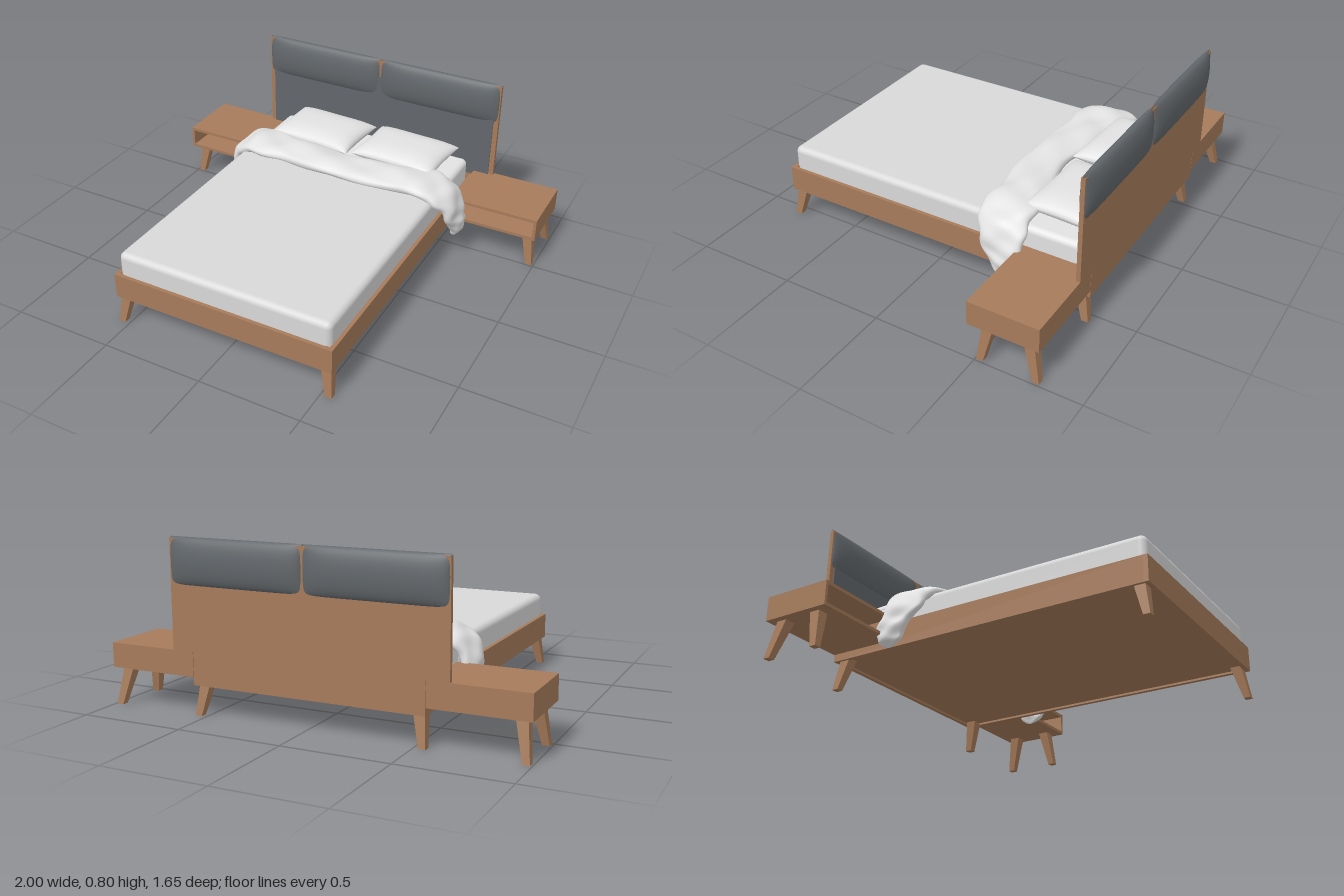
import * as THREE from 'three';
import { mergeGeometries, mergeVertices } from 'three/addons/utils/BufferGeometryUtils.js';
import { RoundedBoxGeometry } from 'three/addons/geometries/RoundedBoxGeometry.js';

const material = (name, color, side = THREE.FrontSide) => {
  const m = new THREE.MeshStandardMaterial({ color, side });
  m.name = name;
  return m;
};

export function createModel() {
  const wood = material('walnut wood', 0xa67b5a);
  const fabric = material('grey upholstery', 0x62676b);
  const linen = material('white linen', 0xe2e2e2);
  const cover = material('bed cover', 0xd8d8d8);

  const root = new THREE.Group();
  root.name = 'bed';

  const add = (parent, name, geometry, mat, x = 0, y = 0, z = 0) => {
    const mesh = new THREE.Mesh(geometry, mat);
    mesh.name = name;
    mesh.position.set(x, y, z);
    parent.add(mesh);
    return mesh;
  };
  const group = (name) => {
    const g = new THREE.Group();
    g.name = name;
    root.add(g);
    return g;
  };
  // Box given by its limits on each axis
  const box = (parent, name, mat, x0, x1, y0, y1, z0, z1) =>
    add(parent, name, new THREE.BoxGeometry(x1 - x0, y1 - y0, z1 - z0), mat,
      (x0 + x1) / 2, (y0 + y1) / 2, (z0 + z1) / 2);

  // Tapered, splayed square leg; the foot stands on y = 0
  const leg = (parent, name, h, footX, footZ, topX, topZ) => {
    const g = new THREE.BoxGeometry(1, h, 1);
    const p = g.attributes.position;
    for (let i = 0; i < p.count; i++) {
      const top = p.getY(i) > 0;
      const w = top ? 0.052 : 0.032;
      p.setXYZ(i, p.getX(i) * w + (top ? topX : footX), p.getY(i) + h / 2,
        p.getZ(i) * w + (top ? topZ : footZ));
    }
    g.computeVertexNormals();
    add(parent, name, g, wood);
  };

  // Two bulged sheets meeting at a seam; bulge runs along z
  const cushion = (w, h, depth, pu, pv, pinch) => {
    const g = new THREE.PlaneGeometry(2, 2, 28, 20);
    const p = g.attributes.position;
    for (let i = 0; i < p.count; i++) {
      const u = Math.sin(p.getX(i) * Math.PI / 2);
      const v = Math.sin(p.getY(i) * Math.PI / 2);
      const bulge = Math.sqrt(Math.max(0, (1 - Math.abs(u) ** pu) * (1 - Math.abs(v) ** pv)));
      p.setXYZ(i, u * w / 2 * (1 - pinch * (1 - v * v)),
        v * h / 2 * (1 - pinch * (1 - u * u)), bulge * depth / 2);
    }
    g.computeVertexNormals();
    return mergeGeometries([g, g.clone().rotateX(Math.PI)]);
  };

  // Bed frame
  const frame = group('bedFrame');
  box(frame, 'footRail', wood, -0.555, 0.555, 0.14, 0.262, 0.803, 0.825);
  box(frame, 'basePanel', wood, -0.535, 0.535, 0.15, 0.2, -0.78, 0.803);
  for (const s of [-1, 1]) {
    box(frame, 'sideRail', wood, s * 0.545 - 0.01, s * 0.545 + 0.01, 0.14, 0.262, -0.78, 0.803);
    leg(frame, 'frontLeg', 0.15, s * 0.539, 0.809, s * 0.515, 0.776);
    leg(frame, 'rearLeg', 0.15, s * 0.539, -0.78, s * 0.515, -0.745);
  }

  // Headboard
  const head = group('headboard');
  box(head, 'headboardPanel', wood, -0.66, 0.66, 0.29, 0.79, -0.8, -0.78);
  box(head, 'lowerPanel', wood, -0.555, 0.555, 0.14, 0.29, -0.8, -0.78);
  box(head, 'upholsteredPanel', fabric, -0.635, 0.635, 0.27, 0.7, -0.78, -0.774);
  for (const s of [-1, 1])
    add(head, 'headCushion', cushion(0.66, 0.215, 0.075, 6, 2, 0), fabric, s * 0.33, 0.69, -0.79);

  // Open nightstands beside the bed
  for (const s of [-1, 1]) {
    const stand = group(s > 0 ? 'leftNightstand' : 'rightNightstand');
    const span = (a, b) => (s > 0 ? [a, b] : [-b, -a]);
    box(stand, 'top', wood, ...span(0.557, 1), 0.275, 0.29, -0.8, -0.465);
    box(stand, 'shelf', wood, ...span(0.557, 1), 0.175, 0.19, -0.8, -0.465);
    box(stand, 'outerSide', wood, ...span(0.985, 1), 0.19, 0.275, -0.8, -0.465);
    box(stand, 'innerSide', wood, ...span(0.557, 0.572), 0.19, 0.275, -0.8, -0.465);
    box(stand, 'back', wood, ...span(0.572, 0.985), 0.19, 0.275, -0.8, -0.785);
    leg(stand, 'frontLeg', 0.18, s * 0.975, -0.52, s * 0.943, -0.548);
    leg(stand, 'rearLeg', 0.18, s * 0.975, -0.782, s * 0.943, -0.735);
  }

  // Mattress: covered foot part and bare sheet at the head
  const bedding = group('bedding');
  add(bedding, 'mattressCover', new RoundedBoxGeometry(1.075, 0.195, 1.2, 5, 0.03), cover, 0, 0.278, 0.207);
  add(bedding, 'headSheet', new RoundedBoxGeometry(1.06, 0.185, 0.5, 5, 0.03), linen, 0, 0.276, -0.503);

  // Pillows lying flat, slightly turned
  for (const s of [-1, 1]) {
    const pillow = add(bedding, 'pillow', cushion(0.45, 0.335, 0.1, 4, 3, 0.05), linen,
      s * 0.235 + 0.008, 0.418, -0.59);
    pillow.rotation.set(-Math.PI / 2, 0, -0.05, 'YXZ');
  }

  // Folded duvet edge: oval sections swept over the bed and down both sides
  // Each station: x, y, z centre, half width, half thickness
  const half = [
    [0.6, 0.115, -0.435, 0.05, 0.02], [0.612, 0.18, -0.425, 0.075, 0.03],
    [0.605, 0.25, -0.395, 0.09, 0.032], [0.575, 0.34, -0.37, 0.115, 0.035],
    [0.49, 0.395, -0.365, 0.125, 0.036], [0.3, 0.404, -0.335, 0.11, 0.036],
  ];
  const stations = [...half.map(([x, ...r]) => [-x, ...r]), [0, 0.405, -0.315, 0.1, 0.036],
    ...half.slice().reverse()];
  const path = new THREE.CatmullRomCurve3(stations.map((s) => new THREE.Vector3(s[0], s[1], s[2])));
  const size = new THREE.CatmullRomCurve3(stations.map((s) => new THREE.Vector3(s[3], s[4], 0)));
  const rows = 110, ring = 28, pos = [], idx = [];
  for (let i = 0; i <= rows; i++) {
    const t = i / rows;
    const c = path.getPoint(t), d = path.getTangent(t), k = size.getPoint(t);
    const n = new THREE.Vector2(-d.y, d.x).normalize();
    const end = Math.sqrt(Math.min(1, 0.02 + Math.min(t, 1 - t) * 25));
    for (let j = 0; j < ring; j++) {
      const a = j / ring * Math.PI * 2;
      // Wrinkles run diagonally along the fold
      const wr = 1 + 0.13 * Math.sin(t * 47 + 3 * a) + 0.1 * Math.sin(t * 83 - 2 * a + 1);
      const edge = 1 + 0.07 * Math.sin(t * 39 + a) + 0.04 * Math.sin(t * 71);
      const up = Math.sign(Math.sin(a)) * Math.abs(Math.sin(a)) ** 0.8 * k.y * wr * end;
      const across = Math.cos(a) * k.x * edge * end;
      pos.push(c.x + n.x * up, c.y + n.y * up, c.z + across);
      if (i < rows) {
        const p = i * ring + j, q = i * ring + (j + 1) % ring;
        idx.push(p, p + ring, q, q, p + ring, q + ring);
      }
    }
  }
  // Close both ends
  for (let j = 1; j < ring - 1; j++) {
    const e = rows * ring;
    idx.push(0, j, j + 1, e, e + j + 1, e + j);
  }
  let fold = new THREE.BufferGeometry();
  fold.setAttribute('position', new THREE.Float32BufferAttribute(pos, 3));
  fold.setIndex(idx);
  fold = mergeVertices(fold);
  fold.computeVertexNormals();
  const duvetLinen = material('duvet linen', 0xe2e2e2, THREE.DoubleSide);
  add(bedding, 'duvetFold', fold, duvetLinen);

  return root;
}
